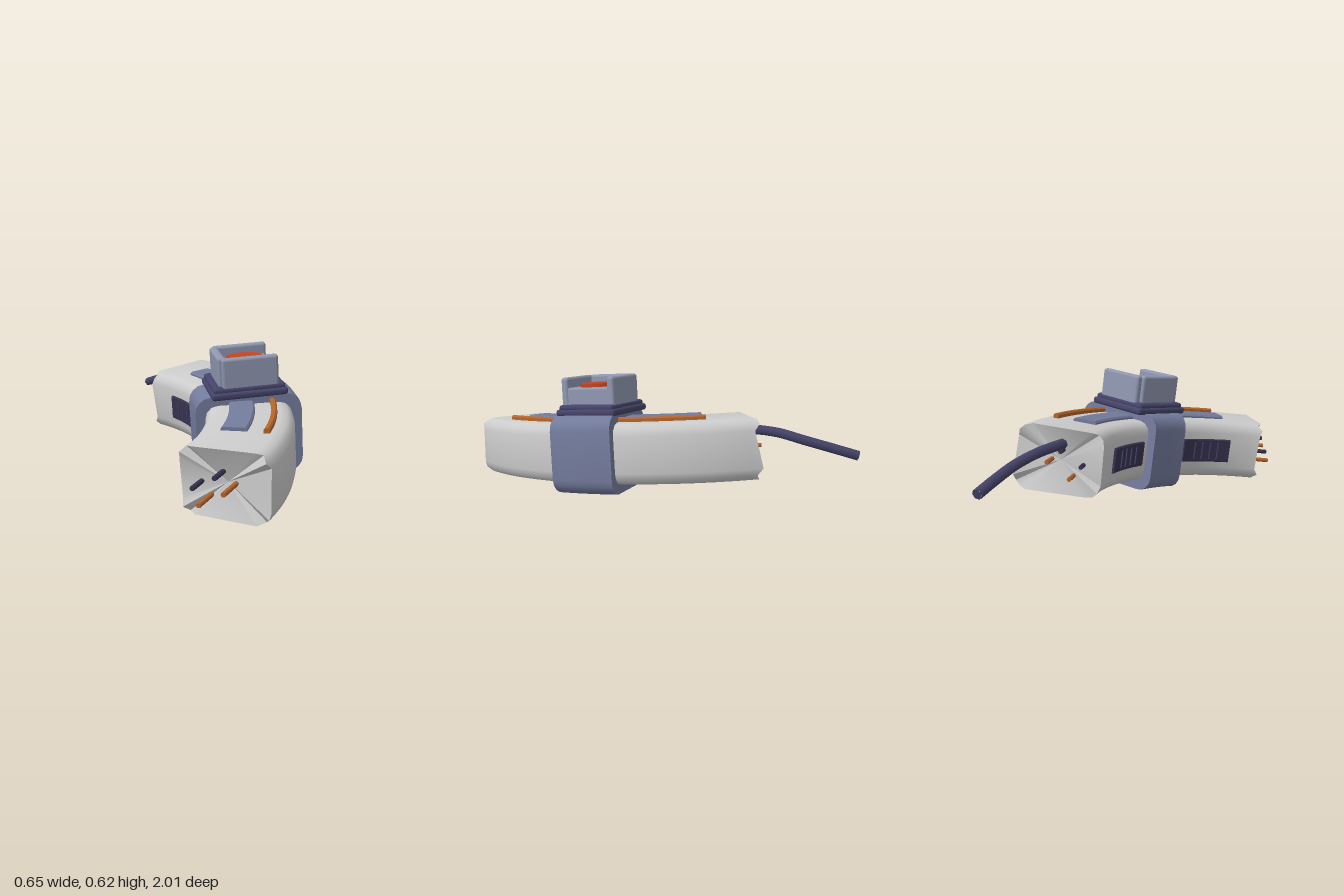
import * as THREE from 'three';
import { toCreasedNormals } from 'three/addons/utils/BufferGeometryUtils.js';
import { RoundedBoxGeometry } from 'three/addons/geometries/RoundedBoxGeometry.js';

const MID = 1.13; // radius of the arc the casing follows
const END = 0.64; // half angle of the casing

const mat = (color) => new THREE.MeshStandardMaterial({ color });
const grey = mat(0xcccccc), slate = mat(0x737b9c), pale = mat(0x8f97b0), navy = mat(0x454469);
const dark = mat(0x37324f), copper = mat(0xb5652b), red = mat(0xc04522);

// Point on the arc: radius r, height y, angle a
const at = (r, y, a) => new THREE.Vector3(r * Math.cos(a) - MID, y, r * Math.sin(a));

// Rounded rectangle section in (radius, height), counter-clockwise
function section(r0, r1, y0, y1, rad, seg = 3) {
  const pts = [];
  const corners = [[r1 - rad, y0 + rad], [r1 - rad, y1 - rad], [r0 + rad, y1 - rad], [r0 + rad, y0 + rad]];
  corners.forEach(([r, y], c) => {
    for (let k = 0; k <= seg; k++) {
      const t = (c - 1 + k / seg) * Math.PI / 2;
      pts.push([r + rad * Math.cos(t), y + rad * Math.sin(t)]);
    }
  });
  return pts;
}

// Sweep a section along the arc; jag makes the cut ends ragged, recess sinks their middle
function sweep(sec, a0, a1, steps, { jag = 0, recess = 0, crease = 0.7 } = {}) {
  const pos = [], idx = [], n = sec.length;
  for (let j = 0; j <= steps; j++) {
    const t = j / steps;
    const endness = Math.max(0, Math.abs(2 * t - 1) * 4 - 3);
    sec.forEach(([r, y], i) => {
      const a = a0 + (a1 - a0) * t + Math.sign(t - 0.5) * endness * jag * Math.sin(i * 2.4 + 1 + t);
      pos.push(...at(r, y, a).toArray());
    });
  }
  for (let j = 0; j < steps; j++) for (let i = 0; i < n; i++) {
    const a = j * n + i, b = j * n + (i + 1) % n;
    idx.push(a, b, b + n, a, b + n, a + n);
  }
  const rc = sec.reduce((s, p) => s + p[0], 0) / n, yc = sec.reduce((s, p) => s + p[1], 0) / n;
  const c = pos.length / 3;
  pos.push(...at(rc, yc, a0 + recess).toArray(), ...at(rc, yc, a1 - recess).toArray());
  for (let i = 0; i < n; i++) {
    const k = (i + 1) % n, e = steps * n;
    idx.push(c, k, i, c + 1, e + i, e + k);
  }
  const g = new THREE.BufferGeometry();
  g.setAttribute('position', new THREE.Float32BufferAttribute(pos, 3));
  g.setIndex(idx);
  return toCreasedNormals(g, crease);
}

export function createModel() {
  const model = new THREE.Group();
  const unit = new THREE.Group();
  unit.name = 'tiltedUnit';
  unit.position.set(0.07, 0.24, 0.2);
  unit.rotation.set(0.09, 0, 0.07);
  model.add(unit);

  const add = (name, geometry, material, x = 0, y = 0, z = 0) => {
    const m = new THREE.Mesh(geometry, material);
    m.name = name;
    m.position.set(x, y, z);
    unit.add(m);
    return m;
  };

  // Curved casing with broken ends, and the collar round its middle
  add('curvedCasing', sweep(section(0.93, 1.33, -0.15, 0.15, 0.06), -END, END, 40, { jag: 0.014, recess: 0.03 }), grey);
  add('collar', sweep(section(0.885, 1.375, -0.195, 0.19, 0.075, 4), -0.12, 0.12, 8), slate);

  // Inlays on both halves
  for (const s of [-1, 1]) {
    const span = (sec, a, b) => sweep(sec, Math.min(s * a, s * b), Math.max(s * a, s * b), 14);
    add('topPanel', span(section(1.04, 1.155, 0.13, 0.166, 0.008, 1), 0.1, 0.45), slate);
    add('topStrip', span(section(1.228, 1.254, 0.13, 0.172, 0.007, 1), 0.1, 0.46), copper);
    add('innerVent', span(section(0.918, 0.95, -0.06, 0.06, 0.005, 1), 0.16, 0.46), dark);
    for (let k = 0; k < 4; k++) {
      add('ventRib', span(section(0.913, 0.93, -0.045, 0.045, 0.002, 1), 0.23 + k * 0.05, 0.236 + k * 0.05), navy);
    }
    // Cut wires at each end
    [[1.02, -0.005, dark], [1.06, -0.06, copper], [1.12, 0.05, dark], [1.17, 0.0, copper]].forEach(([r, y, m], k) => {
      const from = at(r, y, s * (END - 0.05));
      const dir = new THREE.Vector3(-Math.sin(END), 0, s * Math.cos(END));
      const len = s > 0 ? 0.12 + (k % 2) * 0.03 : 0.09 + (k % 2) * 0.03;
      const path = new THREE.LineCurve3(from, from.clone().addScaledVector(dir, len));
      const w = add('cutWire', new THREE.CylinderGeometry(0.011, 0.011, len, 6), m);
      w.position.copy(path.getPoint(0.5));
      w.quaternion.setFromUnitVectors(new THREE.Vector3(0, 1, 0), dir);
    });
  }

  // Base plate and open-sided tray holding the disc
  const box = (name, m, w, h, d, x, y, z, r = 0.012) => add(name, new RoundedBoxGeometry(w, h, d, 2, r), m, x, y, z);
  box('basePlate', navy, 0.355, 0.034, 0.325, 0, 0.2, 0, 0.014);
  box('basePlateUpper', navy, 0.335, 0.03, 0.3, 0, 0.223, 0, 0.014);
  box('trayBlock', pale, 0.25, 0.1, 0.25, 0.008, 0.27, 0);
  for (const s of [-1, 1]) box('trayWall', pale, 0.262, 0.148, 0.038, 0.008, 0.297, s * 0.127, 0.014);
  box('trayBackWall', pale, 0.04, 0.143, 0.235, -0.118, 0.3, 0, 0.014);
  add('disc', new THREE.CylinderGeometry(0.095, 0.095, 0.02, 32), red, 0.012, 0.327, 0);

  // Loose cable trailing from the rear, laid out in model space
  const cablePath = new THREE.CatmullRomCurve3([
    [-0.14, 0.36, -0.42], [-0.17, 0.362, -0.49], [-0.195, 0.352, -0.62],
    [-0.21, 0.325, -0.74], [-0.25, 0.29, -0.87], [-0.293, 0.255, -0.99],
  ].map((p) => new THREE.Vector3(...p)));
  const cable = new THREE.Group();
  cable.name = 'cable';
  const tube = new THREE.Mesh(new THREE.TubeGeometry(cablePath, 20, 0.024, 7), navy);
  tube.name = 'cableSheath';
  const tip = new THREE.Mesh(new THREE.CircleGeometry(0.024, 7), navy);
  tip.name = 'cableTip';
  tip.position.copy(cablePath.getPoint(1));
  tip.quaternion.setFromUnitVectors(new THREE.Vector3(0, 0, 1), cablePath.getTangent(1));
  cable.add(tube, tip);
  model.add(cable);

  return model;
}
